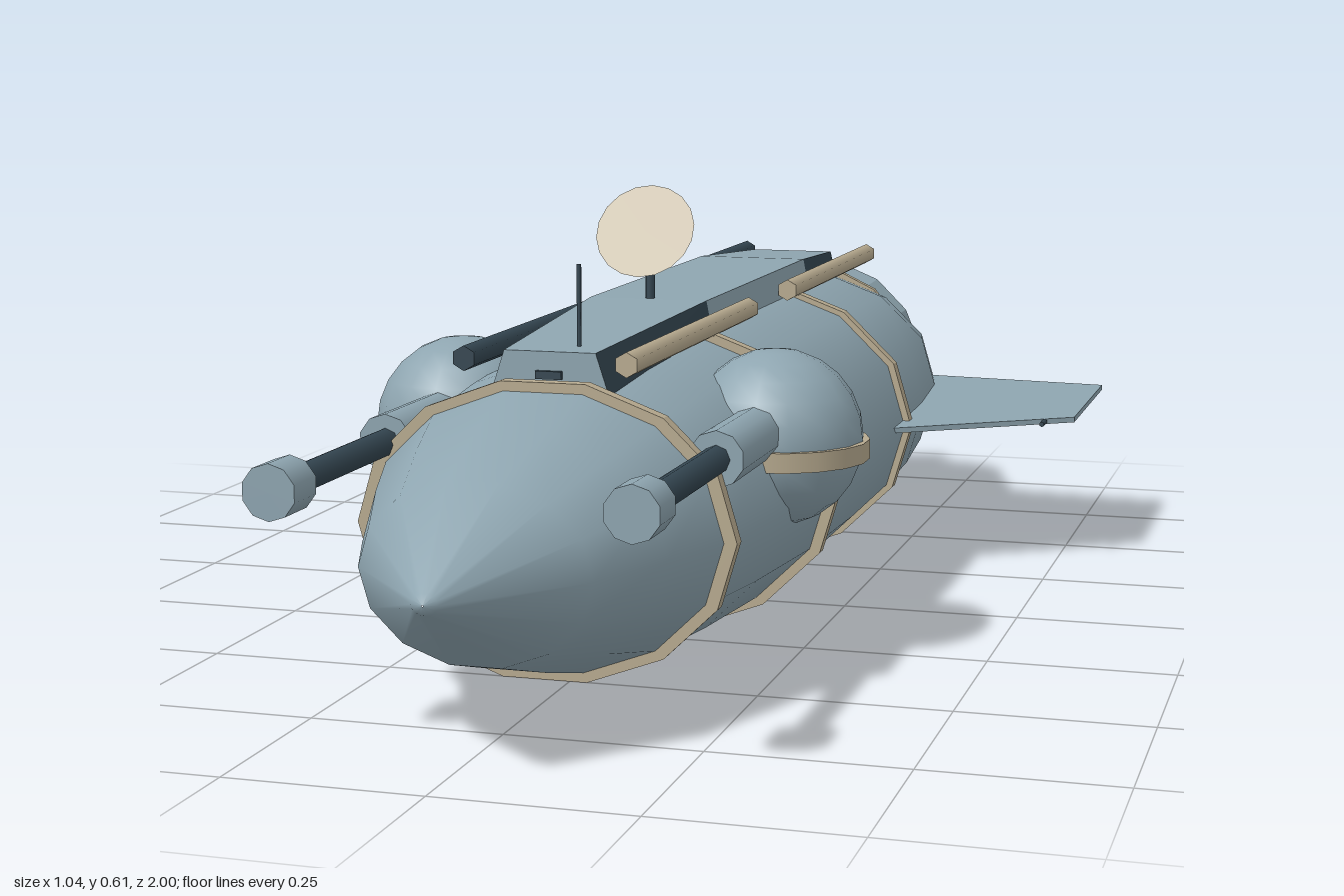
import * as THREE from 'three';

const AXIS = 0.217; // height of the hull's centre line
const SQUASH = 0.775; // hull height over width

function material(name, color, side = THREE.FrontSide) {
  const m = new THREE.MeshStandardMaterial({ color, side });
  m.name = name;
  return m;
}

// Turned part along z: points are [radius, z] with z ascending
function turned(points, sides, squash = 1, flat = false) {
  const geo = new THREE.LatheGeometry(
    points.map(([r, z]) => new THREE.Vector2(r, z)), sides, Math.PI / sides);
  geo.rotateX(Math.PI / 2);
  geo.scale(1, squash, 1);
  if (!flat) return geo;
  const faceted = geo.toNonIndexed();
  faceted.computeVertexNormals();
  return faceted;
}

function rod(radius, z0, z1, sides) {
  return new THREE.CylinderGeometry(radius, radius, z1 - z0, sides)
    .rotateX(Math.PI / 2).translate(0, 0, (z0 + z1) / 2);
}

// Dorsal spine from cross-sections; tapered side walls use material 1
function spineGeometry() {
  // z, top half width, bottom half width, top height
  const sections = [
    [-0.69, 0.066, 0.08, 0.442], [-0.42, 0.084, 0.098, 0.457],
    [0.15, 0.084, 0.098, 0.457], [0.57, 0.06, 0.078, 0.44],
  ];
  const rows = sections.map(([z, t, b, y]) =>
    [[-b, 0.385, z], [-t, y, z], [t, y, z], [b, 0.385, z]]);
  const hull = [], dark = [];
  const quad = (list, a, b, c, d) => list.push(...a, ...b, ...c, ...a, ...c, ...d);
  for (let i = 0; i < 3; i++) {
    const p = rows[i], q = rows[i + 1];
    for (let j = 0; j < 3; j++) {
      quad(j !== 1 && i !== 1 ? dark : hull, p[j], q[j], q[j + 1], p[j + 1]);
    }
  }
  quad(hull, rows[3][0], rows[3][3], rows[3][2], rows[3][1]);
  quad(hull, ...rows[0]);
  const geo = new THREE.BufferGeometry();
  geo.setAttribute('position', new THREE.Float32BufferAttribute([...hull, ...dark], 3));
  geo.addGroup(0, hull.length / 3, 0);
  geo.addGroup(hull.length / 3, dark.length / 3, 1);
  geo.computeVertexNormals();
  return geo;
}

export function createModel() {
  const model = new THREE.Group();
  model.name = 'spaceship';
  const hullBlue = material('hull blue grey', 0x8ea5b0);
  const tan = material('trim tan', 0xb8ab90);
  const dark = material('dark steel', 0x344651);
  const bellDark = material('engine steel', 0x3c505c, THREE.DoubleSide);

  const add = (name, geo, mat, x = 0, y = 0, z = 0) => {
    const mesh = new THREE.Mesh(geo, mat);
    mesh.name = name;
    mesh.position.set(x, y, z);
    model.add(mesh);
    return mesh;
  };

  // Hull and rear collar
  add('hull', turned([
    [0.001, -0.85], [0.208, -0.85], [0.23, -0.78], [0.254, -0.67], [0.27, -0.48],
    [0.276, -0.3], [0.277, -0.05], [0.271, 0.19], [0.254, 0.42], [0.235, 0.59],
    [0.195, 0.71], [0.145, 0.84], [0.016, 0.995], [0.001, 1],
  ], 14, SQUASH), hullBlue, 0, AXIS);
  add('engineCollar', turned(
    [[0.001, -0.89], [0.189, -0.89], [0.182, -0.78], [0.001, -0.78]], 16, 1, true),
  hullBlue, 0, AXIS);

  // Hoops around the hull
  const hoop = (name, z, outer, inner, half, squash) => add(name, turned([
    [inner, z - half], [outer, z - half], [outer, z + half], [inner, z + half],
  ], 14, squash, true), tan, 0, AXIS);
  hoop('frontHoop', 0.588, 0.249, 0.22, 0.01, SQUASH);
  hoop('middleHoop', 0.185, 0.286, 0.25, 0.01, SQUASH);
  hoop('rearHoop', -0.305, 0.286, 0.25, 0.011, SQUASH);
  hoop('collarHoop', -0.79, 0.194, 0.17, 0.007, 1);

  // Engine bells
  for (const [x, y] of [[0, 0.288], [-0.083, 0.173], [0.083, 0.173]]) {
    add('engineBell', turned(
      [[0.054, -1], [0.041, -0.965], [0.03, -0.925], [0.025, -0.885]], 14),
    bellDark, x, y);
  }

  // Gun pods, wings and wing probes on both sides
  const wingShape = new THREE.Shape([
    [0.2, 0.775], [0.522, 0.74], [0.522, 0.4], [0.24, 0.2],
  ].map(([x, y]) => new THREE.Vector2(x, y)));
  for (const s of [-1, 1]) {
    const x = s * 0.217;
    add('gunPod', new THREE.SphereGeometry(0.118, 16, 12), hullBlue, s * 0.22, 0.298, 0.295);
    add('gunPodBand', new THREE.CylinderGeometry(0.125, 0.125, 0.026, 18), tan,
      s * 0.22, 0.284, 0.295);
    add('gunSleeve', rod(0.036, 0.32, 0.58, 10), hullBlue, x, 0.317);
    add('gunBarrel', rod(0.018, 0.55, 0.88, 8), dark, x, 0.317);
    add('gunMuzzle', rod(0.034, 0.865, 0.925, 10), hullBlue, x, 0.317);

    const wing = new THREE.ExtrudeGeometry(wingShape, { depth: 0.008, bevelEnabled: false });
    wing.rotateX(-Math.PI / 2); // shape y becomes -z
    if (s < 0) wing.rotateZ(Math.PI).translate(0, 0.008, 0);
    add('wing', wing, hullBlue, 0, 0.218);
    add('wingProbe', rod(0.004, -0.44, -0.342, 6), dark, s * 0.48, 0.222);

    // Long rails beside the spine, in two lengths
    for (const [z0, z1] of [[-0.79, -0.225], [0.005, 0.59]]) {
      add('rail', rod(0.016, z0, z1, 6), s < 0 ? dark : tan, s * 0.106, 0.43);
    }
  }

  // Dorsal spine with front slot
  add('spine', spineGeometry(), [hullBlue, dark]);
  add('spineSlot', new THREE.BoxGeometry(0.034, 0.01, 0.008), dark, 0, 0.411, 0.573);

  // Dish on its mast
  add('dishMast', new THREE.CylinderGeometry(0.007, 0.007, 0.11, 8), dark, 0, 0.49, 0.14);
  const dish = add('dish', new THREE.ConeGeometry(0.07, 0.032, 18).rotateX(-Math.PI / 2)
    .translate(0, 0, -0.016), tan, 0, 0.553, 0.165);
  dish.rotation.x = -0.53;

  // Whip antenna and belly dome
  add('antenna', new THREE.CylinderGeometry(0.003, 0.003, 0.12, 6), dark, 0.024, 0.485, 0.525);
  add('bellyDome', new THREE.SphereGeometry(0.038, 12, 8), hullBlue, 0, 0.042, 0.43);

  return model;
}
